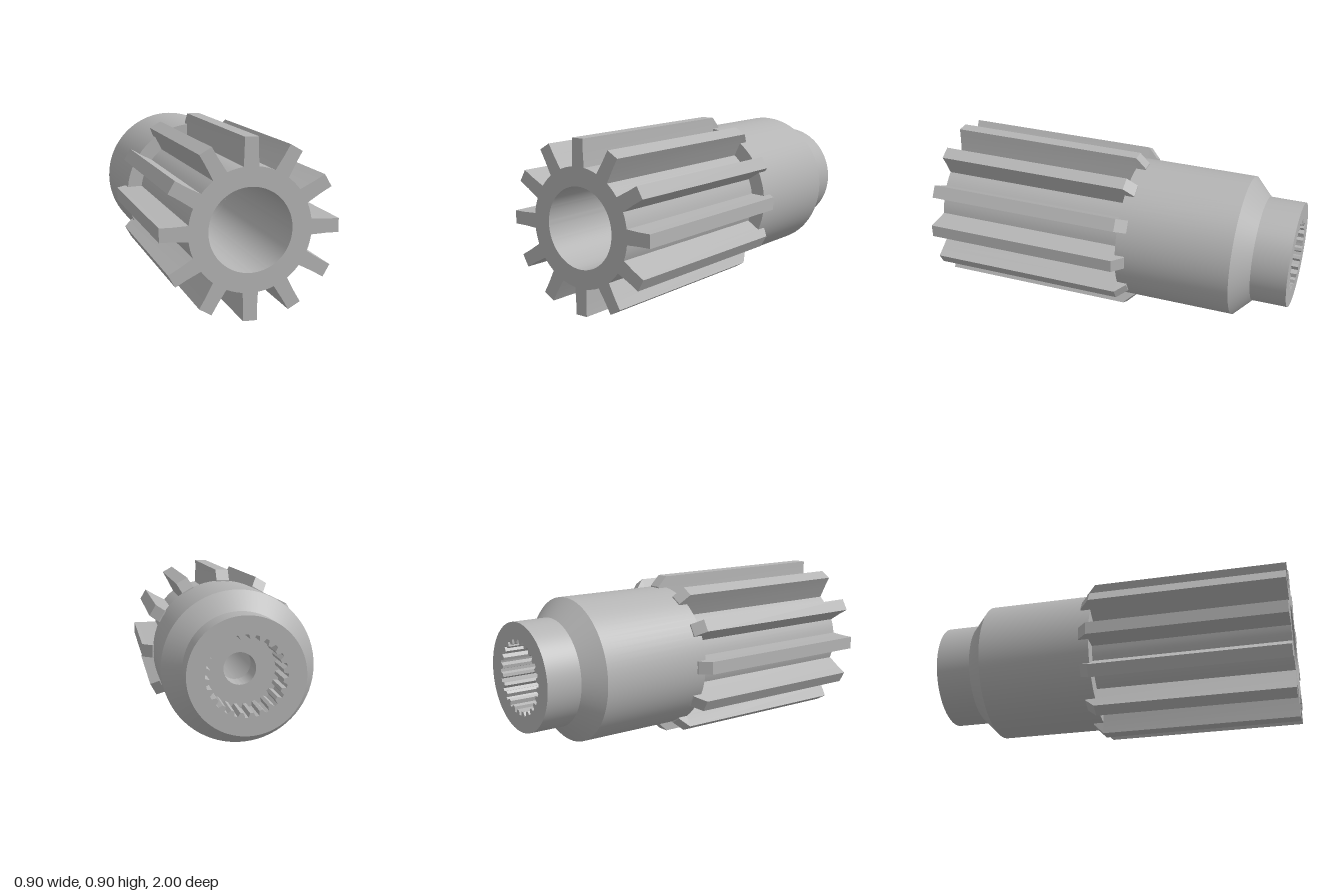
import * as THREE from 'three';
import { toCreasedNormals } from 'three/addons/utils/BufferGeometryUtils.js';

const TEETH = 12, SPLINES = 24, AXIS_Y = 0.45;

// Point given along and across a direction at angle a
const polar = (a, along, across = 0) => new THREE.Vector2(
  along * Math.cos(a) - across * Math.sin(a),
  along * Math.sin(a) + across * Math.cos(a));

const circle = (Type, r) => new Type().absarc(0, 0, r, 0, Math.PI * 2, false);

function extrude(shape, z0, z1) {
  const g = new THREE.ExtrudeGeometry(shape, { depth: z1 - z0, bevelEnabled: false, curveSegments: 72 });
  g.translate(0, 0, z0);
  return toCreasedNormals(g, 0.4);
}

// Gear outline: straight teeth with round valleys
function gearShape() {
  const pts = [], step = Math.PI * 2 / TEETH, root = 0.309;
  const rootAngle = Math.asin(0.039 / root);
  for (let i = 0; i < TEETH; i++) {
    const a = i * step;
    pts.push(polar(a, 0.385, -0.035), polar(a, 0.449, -0.035),
      polar(a, 0.449, 0.035), polar(a, 0.385, 0.035));
    for (let k = 0; k <= 4; k++) {
      pts.push(polar(a + rootAngle + (step - 2 * rootAngle) * k / 4, root));
    }
  }
  return new THREE.Shape(pts);
}

// Toothed bore of the rear collar
function splineHole() {
  const pts = [], step = Math.PI * 2 / SPLINES;
  for (let i = 0; i < SPLINES; i++) {
    const a = i * step;
    pts.push(polar(a - step * 0.32, 0.178), polar(a - step * 0.16, 0.2),
      polar(a + step * 0.16, 0.2), polar(a + step * 0.32, 0.178));
  }
  return new THREE.Path(pts);
}

export function createModel() {
  const model = new THREE.Group();
  const shaft = new THREE.Group();
  shaft.name = 'splinedShaft';
  shaft.position.y = AXIS_Y;
  model.add(shaft);

  const steel = new THREE.MeshStandardMaterial({ color: 0xb4b4b4 });
  steel.name = 'steelGrey';
  const add = (name, geometry) => {
    const mesh = new THREE.Mesh(geometry, steel);
    mesh.name = name;
    shaft.add(mesh);
    return mesh;
  };

  // Front gear section with plain bore
  const gear = gearShape();
  gear.holes.push(circle(THREE.Path, 0.21));
  add('gearSection', extrude(gear, -0.08, 1));

  // Turned body: shoulder, chamfer, stepped bore (radius, z)
  const profile = [
    [0.285, -0.81], [0.388, -0.71], [0.388, -0.08], [0.21, -0.08],
    [0.21, -0.55], [0.197, -0.563], [0.197, -0.6], [0.082, -0.6],
    [0.082, -0.77], [0.23, -0.77],
  ].map(([r, z]) => new THREE.Vector2(r, z));
  const body = new THREE.LatheGeometry(profile, 72).rotateX(Math.PI / 2);
  add('body', toCreasedNormals(body, 0.4));

  // Rear collar with internal splines
  const collar = circle(THREE.Shape, 0.29);
  collar.holes.push(splineHole());
  add('rearCollar', extrude(collar, -1, -0.77));

  // Sloped tooth ends running out onto the body
  const wedge = new THREE.Shape([[0.37, -0.08], [0.37, -0.135], [0.394, -0.135], [0.449, -0.08]]
    .map(([r, z]) => new THREE.Vector2(r, z)));
  const wedgeGeometry = extrude(wedge, -0.035, 0.035).rotateX(Math.PI / 2);
  for (let i = 0; i < TEETH; i++) {
    add('toothEnd', wedgeGeometry).rotation.z = i * Math.PI * 2 / TEETH;
  }
  return model;
}
